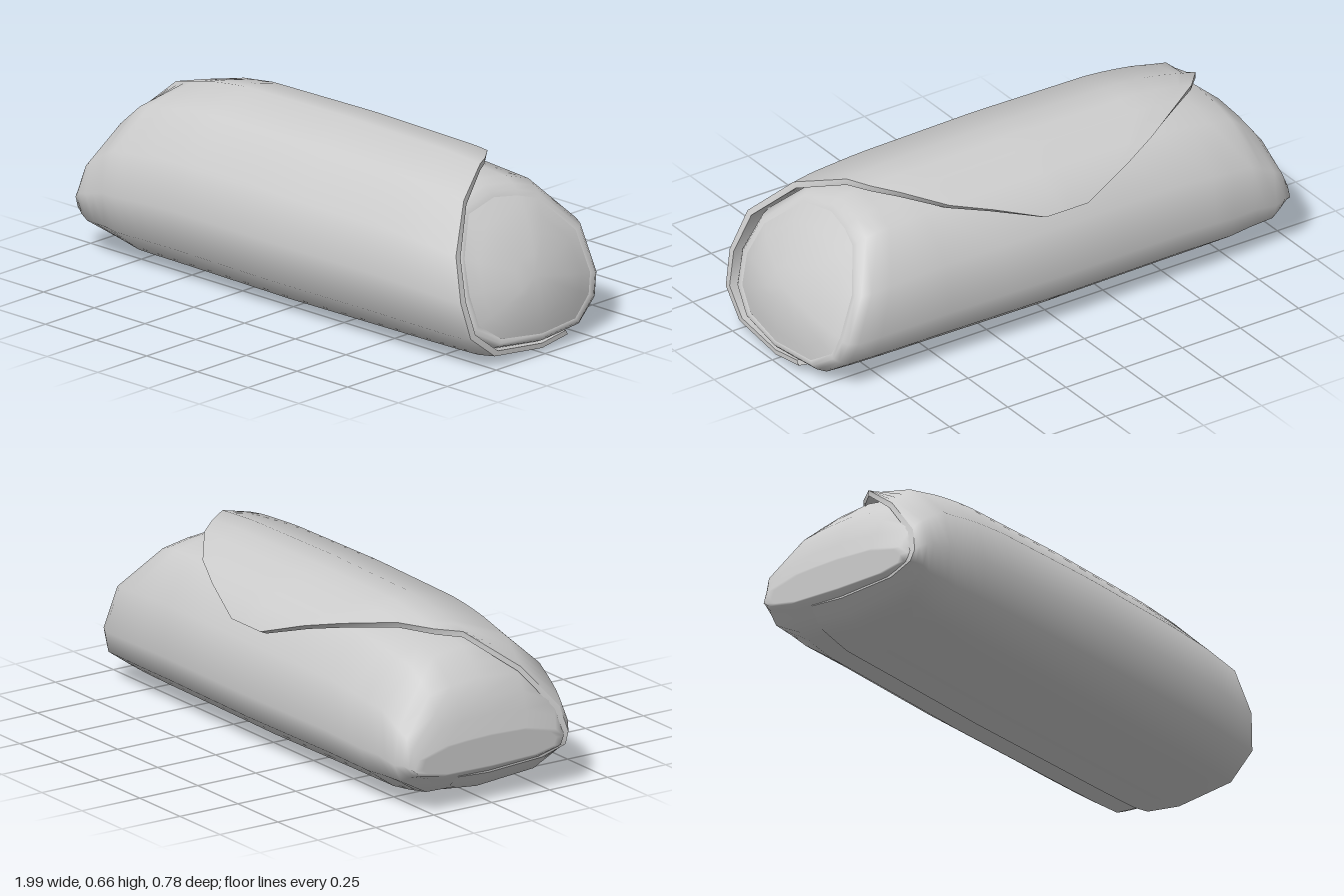
import * as THREE from 'three';
import { mergeVertices } from 'three/addons/utils/BufferGeometryUtils.js';

const material = new THREE.MeshStandardMaterial({ color: 0xcccccc, side: THREE.DoubleSide });

// Piecewise linear lookup in a list of [key, value]
function lookup(table, k) {
  if (k <= table[0][0]) return table[0][1];
  for (let i = 1; i < table.length; i++) {
    const [k0, v0] = table[i - 1], [k1, v1] = table[i];
    if (k <= k1) return v0 + (v1 - v0) * (k - k0) / (k1 - k0);
  }
  return table[table.length - 1][1];
}

// How the roll tapers along x: top height, bottom height, width
const TOP = [[-1, 0.27], [-0.96, 0.42], [-0.92, 0.49], [-0.82, 0.59], [-0.65, 0.63], [-0.5, 0.65],
  [0, 0.657], [0.5, 0.65], [0.7, 0.635], [0.85, 0.61], [1, 0.59]];
const BOTTOM = [[-1, 0.13], [-0.92, 0.04], [-0.77, 0.006], [0, 0], [0.9, 0.006], [1, 0.02]];
const WIDTH = [[-1, 0.85], [-0.95, 0.93], [-0.7, 0.975], [0, 1], [0.7, 0.975], [0.92, 0.94], [1, 0.9]];

function warp(x, y, z) {
  const b = lookup(BOTTOM, x), t = lookup(TOP, x);
  return [x, b + (t - b) * y / 0.657, z * lookup(WIDTH, x)];
}

// Grid of nu x nv points made by a rule, welded so shading is smooth
function grid(name, nu, nv, point) {
  const positions = [], index = [];
  for (let i = 0; i < nu; i++) for (let j = 0; j < nv; j++) positions.push(...point(i, j));
  for (let i = 0; i < nu - 1; i++) for (let j = 0; j < nv - 1; j++) {
    const a = i * nv + j, b = a + nv;
    index.push(a, a + 1, b, b, a + 1, b + 1);
  }
  let geometry = new THREE.BufferGeometry();
  geometry.setAttribute('position', new THREE.Float32BufferAttribute(positions, 3));
  geometry.setIndex(index);
  geometry = mergeVertices(geometry, 1e-5);
  geometry.computeVertexNormals();
  const mesh = new THREE.Mesh(geometry, material);
  mesh.name = name;
  return mesh;
}

// Inner roll profile [z, y], from the bottom round the front and over the top
const CORE = [[0, 0.02], [0.24, 0.05], [0.35, 0.14], [0.365, 0.285], [0.325, 0.435], [0.18, 0.57], [0, 0.595],
  [-0.13, 0.578], [-0.23, 0.55], [-0.37, 0.4], [-0.39, 0.21], [-0.36, 0.115], [-0.245, 0.03], [0, 0.02]];
const STATIONS = [-1, -0.98, -0.96, -0.92, -0.87, -0.82, -0.73, -0.65, -0.5, -0.25, 0, 0.25, 0.5];

// Slanted, bulging right end
const END = [[0, 0.975], [0.06, 0.997], [0.15, 0.995], [0.25, 0.98], [0.34, 0.945], [0.42, 0.9], [0.5, 0.83], [0.6, 0.69]];
const endX = (y, z) => lookup(END, y) - 0.05 * (z / 0.33) ** 2;

// Profile point pulled towards the middle by f
const inset = ([z, y], f) => [z * f, 0.3 + (y - 0.3) * f];

function endPoint(p, f, back) {
  const [z, y] = inset(p, f);
  return warp(endX(y, z) - back, y, z);
}

// Wrap profile [z, y, left edge x, right edge x], ending in the rounded flap tip at the back
const WRAP = [
  [-0.15, 0.02, -0.98, 0.98], [0, 0, -0.98, 0.985], [0.26, 0.03, -0.985, 0.98], [0.375, 0.13, -0.995, 0.965],
  [0.39, 0.28, -0.99, 0.935], [0.35, 0.45, -0.97, 0.88], [0.195, 0.6, -0.92, 0.78], [0, 0.657, -0.82, 0.68],
  [-0.08, 0.645, -0.75, 0.63], [-0.165, 0.63, -0.64, 0.56], [-0.27, 0.575, -0.45, 0.42],
  [-0.33, 0.535, -0.3, 0.27], [-0.378, 0.465, -0.1, 0.08]];
const STEPS = 32;

function wrapPoint(p, f, j) {
  const t = (1 - Math.cos(Math.PI * j / STEPS)) / 2; // denser near both ends
  const [z, y] = inset(p, f);
  return warp(p[2] + (p[3] - p[2]) * t, y, z);
}

export function createModel() {
  const group = new THREE.Group();
  group.name = 'rolledWrap';

  // Inner roll: closed left end, sides, rounded rim on the right
  const sides = STATIONS.map((x) => (p) => warp(x, p[1], p[0]));
  for (const t of [0.4, 0.75]) {
    sides.push((p) => warp(0.5 + (endX(p[1], p[0]) - 0.535) * t, p[1], p[0]));
  }
  const rows = [
    ...[0, 0.5, 0.9].map((f) => (p) => { const [z, y] = inset(p, f); return warp(-1, y, z); }),
    ...sides,
    ...[[1, 0.035], [0.96, 0.008], [0.91, 0], [0.85, 0.012]].map(([f, back]) => (p) => endPoint(p, f, back)),
  ];
  group.add(grid('innerRoll', CORE.length, rows.length, (i, j) => rows[j](CORE[i])));

  // Panel closing the right end
  const rings = [0.85, 0.7, 0.5, 0.25, 0];
  group.add(grid('endPanel', CORE.length, rings.length, (i, j) => endPoint(CORE[i], rings[j], 0.012)));

  // Outer sheet with the overlapping flap, given thickness
  const inner = 0.93, n = WRAP.length;
  const wrap = new THREE.Group();
  wrap.name = 'outerWrap';
  wrap.add(grid('wrapOutside', n, STEPS + 1, (i, j) => wrapPoint(WRAP[i], 1, j)));
  wrap.add(grid('wrapInside', n, STEPS + 1, (i, j) => wrapPoint(WRAP[n - 1 - i], inner, j)));
  wrap.add(grid('flapTip', 2, STEPS + 1, (i, j) => wrapPoint(WRAP[n - 1], i ? inner : 1, j)));
  wrap.add(grid('wrapRightEdge', n, 2, (i, j) => wrapPoint(WRAP[i], j ? inner : 1, STEPS)));
  wrap.add(grid('wrapLeftEdge', n, 2, (i, j) => wrapPoint(WRAP[i], j ? 1 : inner, 0)));
  group.add(wrap);

  return group;
}
